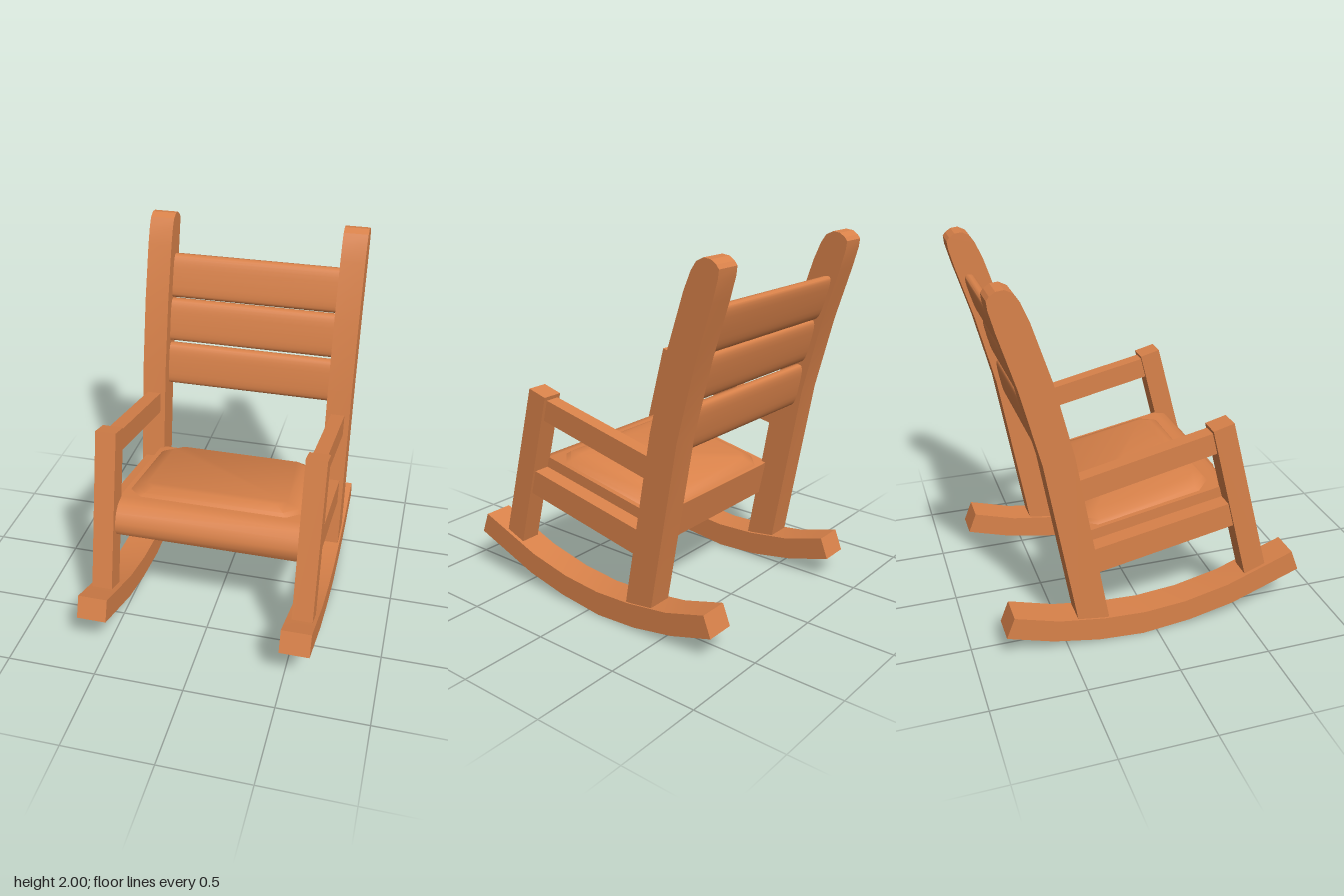
import * as THREE from 'three';
import { toCreasedNormals } from 'three/addons/utils/BufferGeometryUtils.js';

const wood = new THREE.MeshStandardMaterial({ color: 0xd9824a });
wood.name = 'warm wood';

// Extrude a side profile of [z, y] points across x0..x1
function board(name, profile, x0, x1, crease = 0.3) {
  const shape = new THREE.Shape(profile.map(([z, y]) => new THREE.Vector2(-z, y)));
  const geo = new THREE.ExtrudeGeometry(shape, { depth: x1 - x0, bevelEnabled: false });
  geo.rotateY(Math.PI / 2);
  geo.translate(x0, 0, 0);
  const mesh = new THREE.Mesh(toCreasedNormals(geo, crease), wood);
  mesh.name = name;
  return mesh;
}

// Rounded cross-section of a back slat, leaning backwards
function slatProfile(z, y, lean) {
  const h = 0.122, t = 0.036, pts = [];
  for (let i = 0; i < 24; i++) {
    const a = (i / 24) * Math.PI * 2;
    const c = Math.cos(a), s = Math.sin(a);
    const u = h * Math.sign(s) * Math.abs(s) ** 0.6;
    const v = t * Math.sign(c) * Math.abs(c) ** 0.6;
    pts.push([z + v - u * lean, y + u]);
  }
  return pts;
}

// Octagonal cushion: chamfered rings stacked upwards
function cushionGeometry() {
  const rings = [[0.49, 0.37, 0.08, 0], [0.47, 0.355, 0.08, 0.018], [0.4, 0.315, 0.05, 0.045]];
  const pos = [], idx = [];
  for (const [w, d, c, y] of rings) {
    const corners = [[w, d - c], [w - c, d], [c - w, d], [-w, d - c],
      [-w, c - d], [c - w, -d], [w - c, -d], [w, c - d]];
    for (const [x, z] of corners) pos.push(x, y, z);
  }
  for (let r = 0; r < 2; r++) {
    for (let i = 0; i < 8; i++) {
      const a = r * 8 + i, b = r * 8 + (i + 1) % 8;
      idx.push(a, a + 8, b, b, a + 8, b + 8);
    }
  }
  for (let i = 1; i < 7; i++) idx.push(16, 16 + i + 1, 16 + i);
  const geo = new THREE.BufferGeometry();
  geo.setAttribute('position', new THREE.Float32BufferAttribute(pos, 3));
  // Each face is wound so that it points up and outwards
  for (let i = 0; i < idx.length; i += 3) {
    const [a, b, c] = [0, 1, 2].map(k => new THREE.Vector3().fromArray(pos, idx[i + k] * 3));
    const n = b.clone().sub(a).cross(c.clone().sub(a));
    if (n.dot(a.add(b).add(c).add(new THREE.Vector3(0, 1, 0))) < 0) {
      [idx[i + 1], idx[i + 2]] = [idx[i + 2], idx[i + 1]];
    }
  }
  geo.setIndex(idx);
  return toCreasedNormals(geo, 0.6);
}

export function createModel() {
  const chair = new THREE.Group();
  chair.name = 'rockingChair';

  const rocker = [[0.79, 0.35], [0.41, 0.21], [0.16, 0.155], [-0.07, 0.135], [-0.3, 0.145],
    [-0.545, 0.18], [-0.785, 0.25], [-0.83, 0.135], [-0.58, 0.06], [-0.33, 0.015],
    [-0.08, 0], [0.19, 0.03], [0.44, 0.085], [0.835, 0.23]];
  const backPost = [[-0.27, 0.135], [-0.44, 1.12], [-0.54, 1.53], [-0.64, 1.84], [-0.68, 1.935],
    [-0.71, 1.98], [-0.75, 2], [-0.79, 1.995], [-0.82, 1.975], [-0.835, 1.955], [-0.83, 1.91],
    [-0.8, 1.8], [-0.71, 1.51], [-0.605, 1.1], [-0.437, 0.135]];
  const frontLeg = [[0.41, 1.18], [0.295, 1.15], [0.525, 0.22], [0.645, 0.26]];
  const arm = [[0.32, 1.133], [-0.42, 0.972], [-0.42, 0.846], [0.34, 1.013]];
  const rail = [[0.42, 0.704], [-0.37, 0.555], [-0.35, 0.412], [0.45, 0.567]];

  // Side parts, repeated on both sides
  const sideParts = [
    ['Rocker', rocker, 0.48, 0.645], ['BackPost', backPost, 0.495, 0.635],
    ['FrontLeg', frontLeg, 0.51, 0.625], ['Arm', arm, 0.525, 0.605],
    ['SeatRail', rail, 0.5, 0.61],
  ];
  for (const [name, profile, x0, x1] of sideParts) {
    chair.add(board('left' + name, profile, x0, x1));
    chair.add(board('right' + name, profile, -x1, -x0));
  }

  // Seat with a rounded front edge
  const seat = [[-0.38, 0.615], [-0.34, 0.418], [0.47, 0.573], [0.505, 0.585], [0.52, 0.62],
    [0.515, 0.665], [0.49, 0.715], [0.45, 0.75], [0.39, 0.762]];
  chair.add(board('seat', seat, -0.518, 0.518, 0.75));

  // Raised seat pad
  const cushion = new THREE.Mesh(cushionGeometry(), wood);
  cushion.name = 'seatPad';
  cushion.position.set(0, 0.687, 0);
  cushion.rotation.x = -0.19;
  chair.add(cushion);

  // Back slats between the posts
  [[-0.55, 1.127, 0.2], [-0.61, 1.39, 0.25], [-0.69, 1.64, 0.3]].forEach(([z, y, lean], i) => {
    chair.add(board('backSlat' + (i + 1), slatProfile(z, y, lean), -0.51, 0.51, 1));
  });

  return chair;
}
